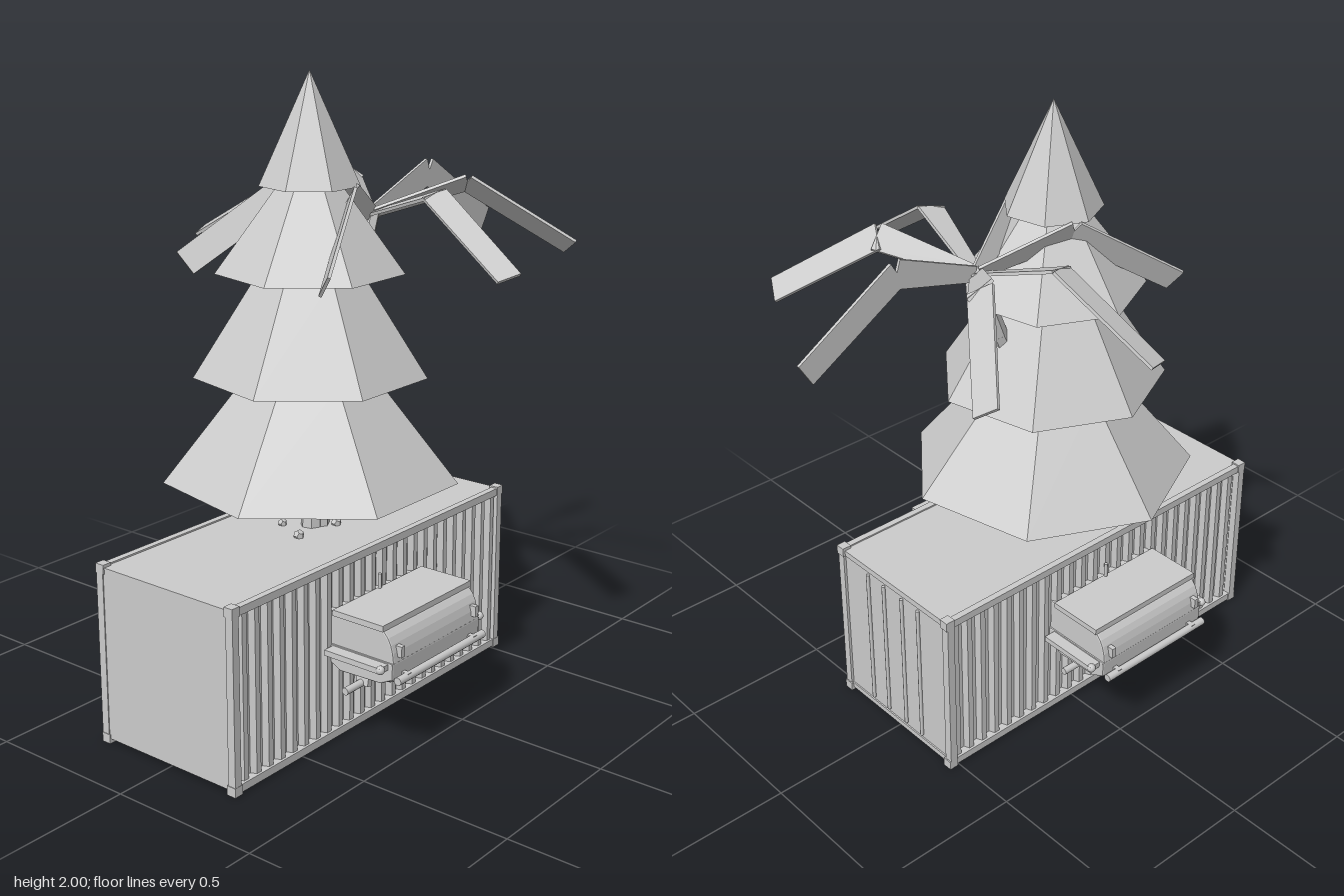
import * as THREE from 'three';

const flat = new THREE.MeshStandardMaterial({ color: 0xcccccc, flatShading: true, side: THREE.DoubleSide });
const smooth = new THREE.MeshStandardMaterial({ color: 0xcccccc });

function add(parent, name, geometry, x = 0, y = 0, z = 0, material = flat) {
  const mesh = new THREE.Mesh(geometry, material);
  mesh.name = name;
  mesh.position.set(x, y, z);
  parent.add(mesh);
  return mesh;
}

// Box given by its minimum and maximum corners
function block(parent, name, x0, x1, y0, y1, z0, z1) {
  return add(parent, name, new THREE.BoxGeometry(x1 - x0, y1 - y0, z1 - z0),
    (x0 + x1) / 2, (y0 + y1) / 2, (z0 + z1) / 2);
}

// Round bar lying along x
function rod(parent, name, r, length, x, y, z) {
  return add(parent, name, new THREE.CylinderGeometry(r, r, length, 12).rotateZ(Math.PI / 2), x, y, z, smooth);
}

function makeContainer() {
  const g = new THREE.Group();
  g.name = 'shippingContainer';

  // Corrugated walls, drawn as a plan outline and extruded upward
  const x0 = -0.785, count = 24, p = 1.295 / count;
  const side = [];
  for (let i = 0; i < count; i++) {
    const x = x0 + i * p;
    side.push([x, 0.245], [x + p * 0.35, 0.245], [x + p * 0.5, 0.264], [x + p * 0.85, 0.264]);
  }
  side.push([0.51, 0.245]);
  const outline = [...side, ...side.map(([x, z]) => [x, -z]).reverse()];
  const walls = new THREE.Shape(outline.map(([x, z]) => new THREE.Vector2(x, z)));
  add(g, 'corrugatedWalls',
    new THREE.ExtrudeGeometry(walls, { depth: 0.55, bevelEnabled: false }).rotateX(-Math.PI / 2), 0, 0.02, 0);

  // Roof, floor and end panels
  block(g, 'roof', -0.8, 0.53, 0.555, 0.575, -0.26, 0.26);
  block(g, 'floor', -0.8, 0.53, 0.012, 0.03, -0.26, 0.26);
  block(g, 'endWall', -0.805, -0.78, 0.015, 0.575, -0.25, 0.25);
  block(g, 'doors', 0.5, 0.525, 0.015, 0.575, -0.25, 0.25);

  // Edge rails, corner posts and corner castings
  for (const s of [-1, 1]) {
    const za = s > 0 ? 0.25 : -0.272, zb = za + 0.022;
    block(g, 'topRail', -0.8, 0.53, 0.555, 0.58, za, zb);
    block(g, 'bottomRail', -0.8, 0.53, 0.005, 0.03, za, zb);
    for (const x of [-0.808, 0.508]) {
      block(g, 'cornerPost', x, x + 0.026, 0.01, 0.575, za - 0.003, zb + 0.002);
      for (const y of [0, 0.555])
        block(g, 'cornerCasting', x - 0.002, x + 0.03, y, y + 0.03, s > 0 ? 0.243 : -0.275, s > 0 ? 0.275 : -0.243);
    }
  }

  // Locking bars on the doors
  for (const z of [-0.125, -0.045, 0.045, 0.125])
    add(g, 'lockingBar', new THREE.CylinderGeometry(0.006, 0.006, 0.5, 8), 0.531, 0.295, z, smooth);
  return g;
}

function makeGrill() {
  const g = new THREE.Group();
  g.name = 'grill';

  // Rounded lid and tub, profile in z and y
  function hull(name, draw, x, width) {
    const s = new THREE.Shape();
    draw(s);
    const geo = new THREE.ExtrudeGeometry(s, {
      depth: width - 0.012, bevelThickness: 0.006, bevelSize: 0.005, bevelSegments: 2, curveSegments: 6,
    }).rotateY(-Math.PI / 2);
    add(g, name, geo, x + width / 2 - 0.006, 0, 0);
  }
  hull('lid', s => {
    s.moveTo(0.25, 0.32);
    s.lineTo(0.25, 0.42);
    s.lineTo(0.425, 0.42);
    s.quadraticCurveTo(0.485, 0.415, 0.492, 0.32);
  }, 0, 0.44);
  hull('tub', s => {
    s.moveTo(0.25, 0.315);
    s.lineTo(0.25, 0.27);
    s.lineTo(0.3, 0.245);
    s.lineTo(0.45, 0.25);
    s.lineTo(0.49, 0.27);
    s.lineTo(0.492, 0.315);
  }, 0, 0.45);
  block(g, 'lidRim', -0.225, 0.225, 0.413, 0.432, 0.27, 0.46);

  // Side shelves with rounded front rails
  for (const s of [-1, 1]) {
    const a = s > 0 ? 0.21 : -0.265;
    block(g, 'sideShelf', a, a + 0.055, 0.298, 0.316, 0.27, 0.48);
    add(g, 'shelfKnob', new THREE.SphereGeometry(0.014, 12, 8), s * 0.255, 0.307, 0.475, smooth);
    // Lid handle brackets and support struts
    block(g, 'handleBracket', s * 0.19 - 0.008, s * 0.19 + 0.008, 0.335, 0.37, 0.47, 0.51);
    block(g, 'handleArm', s * 0.17 - 0.008, s * 0.17 + 0.008, 0.26, 0.28, 0.45, 0.52);
    const strut = block(g, 'strut', s * 0.13 - 0.01, s * 0.13 + 0.01, 0.17, 0.27, 0.3, 0.345);
    strut.rotation.z = s * 0.2;
    block(g, 'tubFoot', s * 0.1 - 0.015, s * 0.1 + 0.015, 0.225, 0.26, 0.34, 0.43);
  }
  rod(g, 'frontRail', 0.013, 0.44, 0, 0.268, 0.512);
  rod(g, 'lowerRail', 0.012, 0.45, 0, 0.178, 0.318);
  rod(g, 'pipe', 0.015, 0.3, 0, 0.225, 0.335);
  add(g, 'gasBall', new THREE.SphereGeometry(0.043, 20, 14), 0, 0.172, 0.318, smooth);
  block(g, 'wallBracket', -0.03, 0.03, 0.2, 0.26, 0.255, 0.35);
  add(g, 'chimney', new THREE.CylinderGeometry(0.006, 0.006, 0.06, 8), 0, 0.45, 0.275, smooth);
  return g;
}

function makeFirTree() {
  const g = new THREE.Group();
  g.name = 'firTree';
  // Tiers: bottom y, top y, bottom radius, top radius
  const tiers = [
    [0.75, 1.08, 0.467, 0.2], [1.08, 1.4, 0.367, 0.16],
    [1.4, 1.66, 0.295, 0.1], [1.66, 2, 0.157, 0],
  ];
  for (const [y0, y1, r0, r1] of tiers)
    add(g, 'foliageTier', new THREE.CylinderGeometry(r1, r0, y1 - y0, 7, 1, false, Math.PI), 0, (y0 + y1) / 2, 0);
  add(g, 'firTrunk', new THREE.CylinderGeometry(0.03, 0.036, 0.2, 7), 0, 0.66, 0);
  // Pebbles at the foot
  for (const [x, z, r] of [[-0.11, 0.04, 0.018], [-0.06, -0.07, 0.015], [0.05, 0.06, 0.017], [0.09, -0.04, 0.02], [0.13, 0.02, 0.014]])
    add(g, 'pebble', new THREE.DodecahedronGeometry(r), x, 0.582, z);
  return g;
}

// Leaf plank from a to b, with its width turned by roll about its length
function leaf(parent, name, a, b, yaw, roll, w0, w1) {
  const dir = b.clone().sub(a), length = dir.length();
  dir.normalize();
  const level = new THREE.Vector3(-Math.sin(yaw), 0, Math.cos(yaw));
  const up = new THREE.Vector3().crossVectors(level, dir);
  const across = level.multiplyScalar(Math.cos(roll)).addScaledVector(up, Math.sin(roll));
  const normal = new THREE.Vector3().crossVectors(across, dir);
  const geo = new THREE.BoxGeometry(length, 0.01, 1);
  const pos = geo.attributes.position;
  for (let i = 0; i < pos.count; i++) pos.setZ(i, pos.getZ(i) * (pos.getX(i) < 0 ? w0 : w1));
  geo.applyMatrix4(new THREE.Matrix4().makeBasis(dir, normal, across));
  const mid = a.clone().lerp(b, 0.5);
  add(parent, name, geo, mid.x, mid.y, mid.z);
}

function makePalm() {
  const g = new THREE.Group();
  g.name = 'palmTree';
  // Leaning trunk in tapered segments: x, y, radius
  const path = [[-0.115, 0.575, 0.046], [-0.11, 0.78, 0.04], [-0.04, 1.04, 0.034], [0.08, 1.3, 0.028], [0.17, 1.54, 0.024]];
  for (let i = 0; i < path.length - 1; i++) {
    const [xa, ya, ra] = path[i], [xb, yb, rb] = path[i + 1];
    const seg = add(g, 'palmTrunk', new THREE.CylinderGeometry(rb, ra, Math.hypot(xb - xa, yb - ya) + 0.01, 6),
      (xa + xb) / 2, (ya + yb) / 2, 0);
    seg.rotation.z = -Math.atan2(xb - xa, yb - ya);
  }
  // Seven bent fronds, twisting progressively around the crown
  for (let i = -3; i <= 3; i++) {
    const yaw = i * Math.PI * 2 / 7, roll = Math.PI / 2 - yaw;
    const at = (r, y) => new THREE.Vector3(0.165 + r * Math.cos(yaw), y, r * Math.sin(yaw));
    leaf(g, 'frondInner', at(0.01, 1.535), at(0.3, 1.63), yaw, roll, 0.05, 0.09);
    leaf(g, 'frondOuter', at(0.295, 1.63), at(0.628, 1.427), yaw, roll, 0.09, 0.084);
  }
  return g;
}

export function createModel() {
  const model = new THREE.Group();
  model.name = 'containerWithTrees';
  model.add(makeContainer(), makePalm());

  const fir = makeFirTree();
  fir.position.x = -0.138;
  model.add(fir);

  // One grill on each long side
  for (const turn of [0, Math.PI]) {
    const grill = makeGrill();
    grill.position.x = -0.138;
    grill.rotation.y = turn;
    model.add(grill);
  }
  return model;
}
